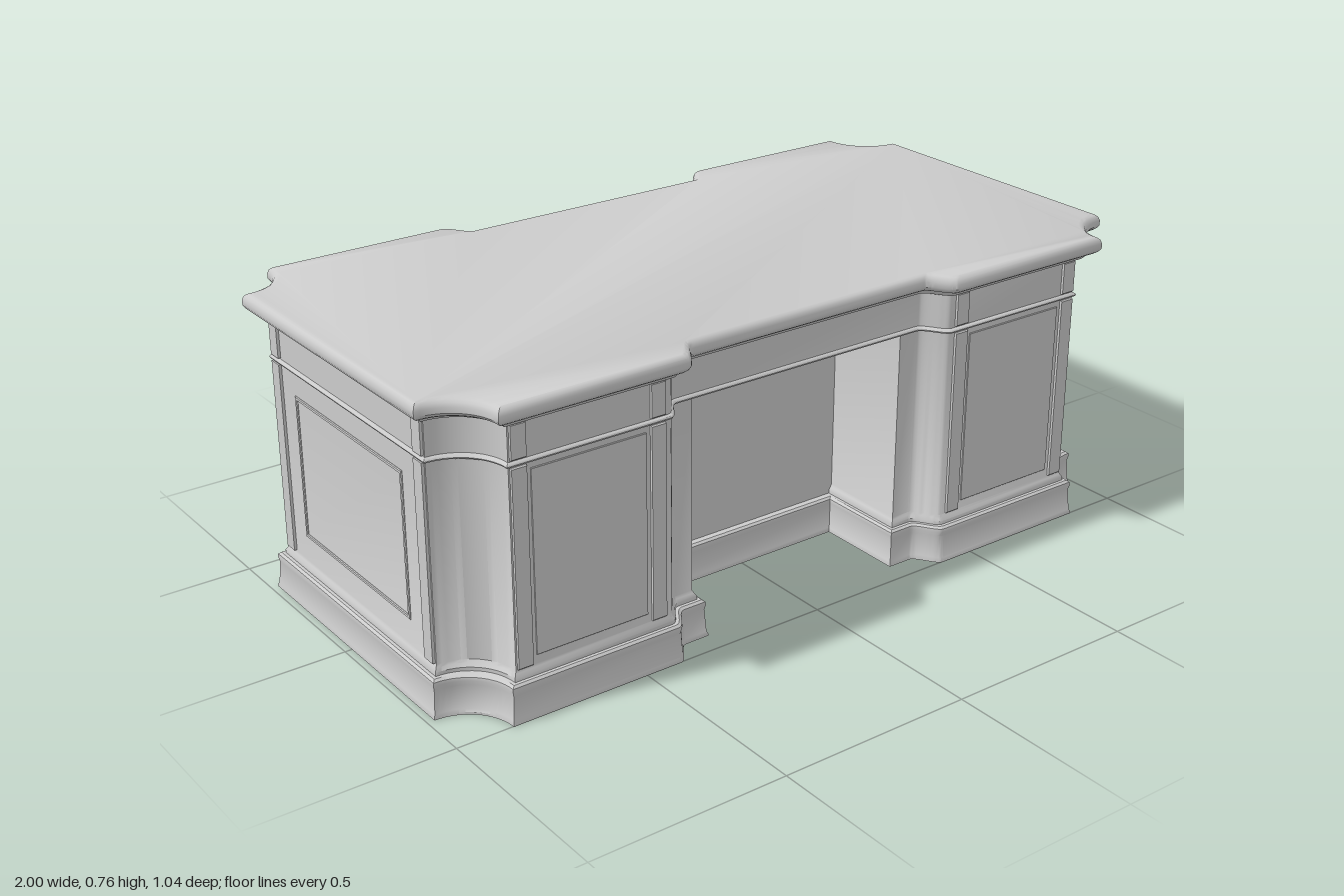
import * as THREE from 'three';
import { toCreasedNormals, mergeVertices } from 'three/addons/utils/BufferGeometryUtils.js';

const grey = new THREE.MeshStandardMaterial({ color: 0xcccccc });
const X = 0.955, Z = 0.475, R = 0.125, STEP = 0.06, INNER = 0.31;

// Depth of the front face at x, for a body grown outward by o: an S-curve steps it back in the middle
function faceZ(x, o) {
  const hi = 0.42 - 0.5 * o, t = THREE.MathUtils.clamp((hi - Math.abs(x)) / 0.06, 0, 1);
  return Z + o - STEP * (1 - Math.cos(Math.PI * t)) / 2;
}

// S-curve and scooped corner from x = 0.42 out to the side, at the front (+x, +z quarter)
function quarter(o) {
  const pts = [];
  for (let i = 0; i <= 12; i++) {
    const x = 0.36 - 0.5 * o + 0.06 * i / 12;
    pts.push([x, faceZ(x, o)]);
  }
  for (let i = 0; i <= 14; i++) {
    const a = Math.PI / 2 * i / 14;
    pts.push([X + o - R * Math.cos(a), Z + o - R * Math.sin(a)]);
  }
  return pts;
}
const flip = (pts, sx, sz) => pts.map(([x, z]) => [x * sx, z * sz]);

function fullOutline(o) {
  const q = quarter(o), r = [...q].reverse();
  return [...q, ...flip(r, 1, -1), ...flip(q, -1, -1), ...flip(r, -1, 1)];
}
function pedestalOutline(o) {
  const q = quarter(o), r = [...q].reverse(), inner = INNER - o;
  return [[inner, q[0][1]], ...q, ...flip(r, 1, -1), [inner + 0.025, -q[0][1]],
    [inner + 0.008, -q[0][1] + 0.008], [inner, -q[0][1] + 0.025]];
}

// Solid lofted through [height, offset] sections of an outline
function loft(outline, profile, crease = 0.6) {
  const rings = profile.map(([y, o]) => {
    const v = outline(o).map(([x, z]) => new THREE.Vector2(x, -z));
    return { y, v: THREE.ShapeUtils.isClockWise(v) ? v.reverse() : v };
  });
  const n = rings[0].v.length, pos = [], idx = [];
  rings.forEach(({ y, v }) => v.forEach(p => pos.push(p.x, y, -p.y)));
  for (let i = 0; i < rings.length - 1; i++) {
    for (let j = 0; j < n; j++) {
      const a = i * n + j, b = i * n + (j + 1) % n;
      idx.push(a, b, b + n, a, b + n, a + n);
    }
  }
  const last = (rings.length - 1) * n;
  THREE.ShapeUtils.triangulateShape(rings[0].v, []).forEach(([a, b, c]) => idx.push(a, c, b));
  THREE.ShapeUtils.triangulateShape(rings[rings.length - 1].v, [])
    .forEach(([a, b, c]) => idx.push(last + a, last + b, last + c));
  const g = new THREE.BufferGeometry();
  g.setAttribute('position', new THREE.Float32BufferAttribute(pos, 3));
  g.setIndex(idx);
  return toCreasedNormals(mergeVertices(g), crease);
}

function add(parent, name, geometry) {
  const m = new THREE.Mesh(geometry, grey);
  m.name = name;
  parent.add(m);
  return m;
}

// Thin facing that follows the curved front (side 1) or back (side -1)
function facing(parent, name, side, x0, x1, y0, y1, depth) {
  const outline = o => {
    const outer = [], inner = [];
    for (let i = 0; i <= 24; i++) {
      const x = x0 + (x1 - x0) * i / 24;
      outer.push([x, side * faceZ(x, depth + o)]);
      inner.unshift([x, side * faceZ(x, -0.01)]);
    }
    return [...outer, ...inner];
  };
  const b = Math.min(0.003, depth / 2);
  return add(parent, name, loft(outline, [[y0, -b], [y0 + b, 0], [y1 - b, 0], [y1, -b]]));
}

// Bowed pull on the back, horizontal or vertical
function pull(parent, x, y, length, vertical) {
  const h = length / 2;
  const path = new THREE.CatmullRomCurve3([[-h, 0.004], [-h, -0.009], [-h * 0.8, -0.013],
    [h * 0.8, -0.013], [h, -0.009], [h, 0.004]].map(([s, z]) => new THREE.Vector3(s, 0, z)), false, 'catmullrom', 0.3);
  const m = add(parent, 'pull', new THREE.TubeGeometry(path, 24, 0.0028, 8));
  m.position.set(x, y, -faceZ(x, 0.004));
  if (vertical) m.rotation.z = Math.PI / 2;
}

// Bar between the pedestals, with rounded inner corners on its back face
function modesty(zBack, zFront, r) {
  return o => {
    const w = INNER + 0.005, pts = [[-w, zFront + o], [w, zFront + o]];
    for (let i = 0; i <= 8; i++) {
      const a = Math.PI / 2 * i / 8;
      pts.push([w - r + r * Math.cos(a), zBack - o - r + r * Math.sin(a)]);
    }
    return [...pts, ...flip(pts.slice(2).reverse(), -1, 1)];
  };
}

export function createModel() {
  const desk = new THREE.Group();
  desk.name = 'desk';

  // Top with bullnose edge and the moulding below it
  add(desk, 'top', loft(fullOutline, [[0.704, 0], [0.706, 0.012], [0.716, 0.02], [0.72, 0.022], [0.721, 0.032],
    [0.727, 0.04], [0.735, 0.045], [0.748, 0.045], [0.757, 0.042], [0.762, 0.037], [0.765, 0.031]]));
  add(desk, 'drawerBand', loft(fullOutline, [[0.612, 0], [0.705, 0]]));
  add(desk, 'beadMoulding', loft(fullOutline, [[0.604, 0], [0.606, 0.005], [0.61, 0.007], [0.614, 0.005], [0.617, 0]]));

  // Kneehole panel and its skirting
  add(desk, 'modestyPanel', loft(modesty(0.14, 0.18, 0.05), [[0.09, 0], [0.608, 0]]));
  const skirt = [[0, 0.027], [0.006, 0.027], [0.012, 0.024], [0.07, 0.02], [0.082, 0.023], [0.09, 0.022], [0.095, 0.016]];
  add(desk, 'modestySkirting', loft(modesty(0.14, 0.18, 0.05), skirt));

  for (const s of [1, -1]) {
    const ped = new THREE.Group();
    ped.name = s > 0 ? 'leftPedestal' : 'rightPedestal';
    desk.add(ped);
    const outline = o => flip(pedestalOutline(o), s, 1);
    add(ped, 'carcass', loft(outline, [[0.09, 0.008], [0.104, 0.008], [0.112, 0.003], [0.118, 0], [0.608, 0]]));
    add(ped, 'plinth', loft(outline, skirt));

    // Front pilasters and panels
    const span = (a, b) => s > 0 ? [a, b] : [-b, -a];
    for (const [a, b] of [[0.43, 0.468], [0.788, 0.826]]) {
      facing(ped, 'frontPilaster', 1, ...span(a, b), 0.12, 0.604, 0.007);
      facing(ped, 'upperPilaster', 1, ...span(a, b), 0.62, 0.704, 0.007);
    }
    facing(ped, 'frontPanel', 1, ...span(0.48, 0.776), 0.14, 0.59, 0.003);

    // Side pilasters and panel moulding
    for (const z of [0.328, -0.328]) {
      for (const [y0, y1] of [[0.12, 0.604], [0.62, 0.704]]) {
        add(ped, 'sidePilaster', new THREE.BoxGeometry(0.014, y1 - y0, 0.036)).position.set(s * X, (y0 + y1) / 2, z);
      }
    }
    const rect = (T, w, h) => new T([[-w, -h], [w, -h], [w, h], [-w, h]].map(p => new THREE.Vector2(...p)));
    const frame = rect(THREE.Shape, 0.245, 0.18);
    frame.holes.push(rect(THREE.Path, 0.239, 0.174));
    const trim = add(ped, 'sidePanelMoulding', new THREE.ExtrudeGeometry(frame,
      { depth: 0.002, bevelSize: 0.002, bevelThickness: 0.002, bevelSegments: 1 }));
    trim.position.set(s * (X - 0.001), 0.365, 0);
    trim.rotation.y = s * Math.PI / 2;

    // Drawer in the band above each pedestal
    facing(ped, 'topDrawer', -1, ...span(0.43, 0.81), 0.622, 0.7, 0.005);
    pull(ped, s * 0.62, 0.664, 0.06);
  }

  // Wide drawer over the kneehole
  facing(desk, 'centreDrawer', -1, -0.33, 0.33, 0.622, 0.7, 0.005);
  for (const x of [-0.245, 0.245]) pull(desk, x, 0.664, 0.06);

  // Cupboard door on the left, drawer stack on the right
  facing(desk, 'door', -1, 0.335, 0.815, 0.125, 0.6, 0.005);
  pull(desk, 0.425, 0.512, 0.062, true);
  for (const [y0, y1, y] of [[0.512, 0.6, 0.557], [0.408, 0.506, 0.455], [0.303, 0.402, 0.35], [0.128, 0.297, 0.237]]) {
    facing(desk, 'drawer', -1, -0.81, -0.43, y0, y1, 0.005);
    pull(desk, -0.62, y, 0.06);
  }
  return desk;
}
